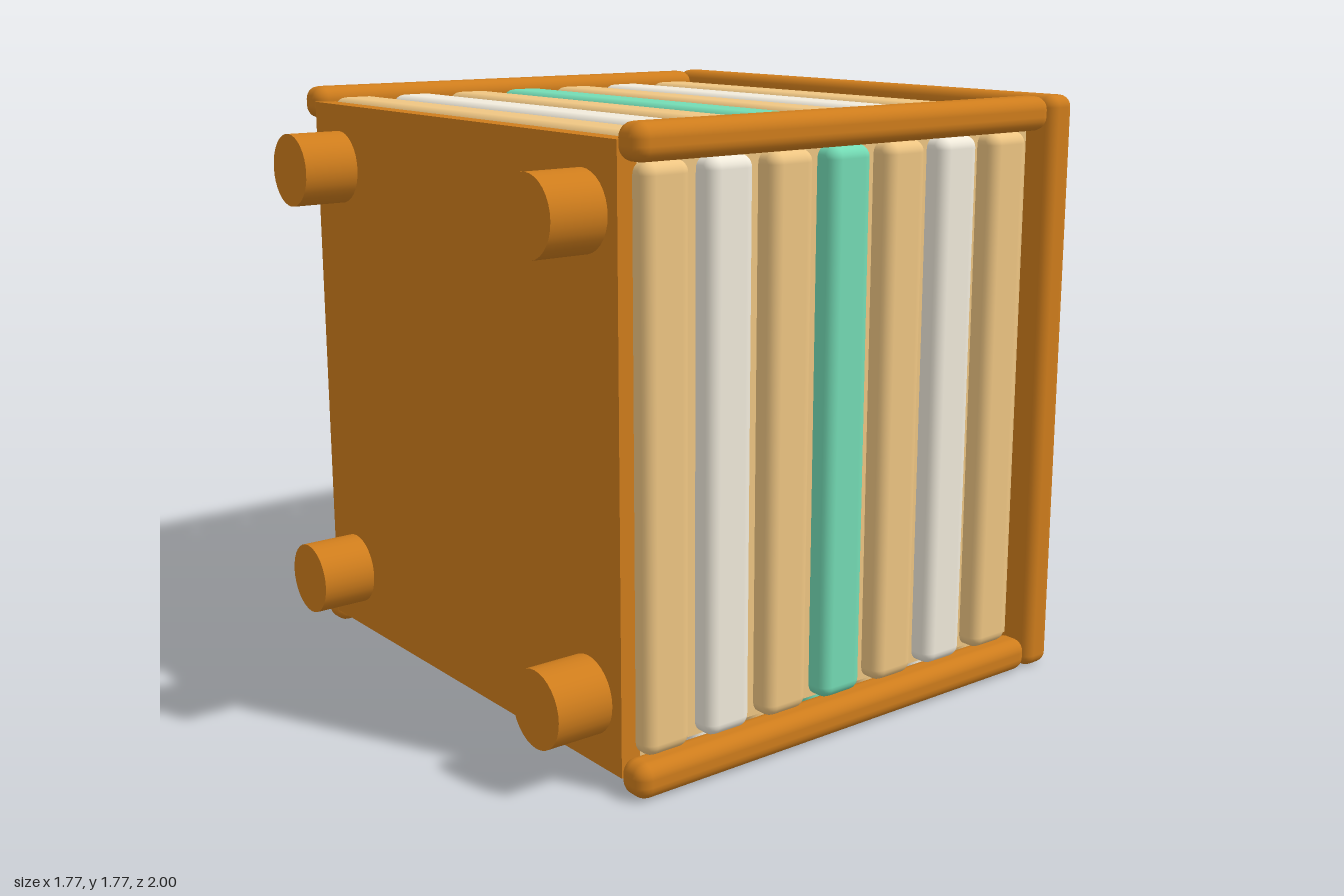
import * as THREE from 'three';
import { RoundedBoxGeometry } from 'three/addons/geometries/RoundedBoxGeometry.js';

const mat = (color) => new THREE.MeshStandardMaterial({ color });
const BROWN = mat(0xcf7d1c), WOOD = mat(0xefc683), CREAM = mat(0xf1ebdc), GREEN = mat(0x74dcb5);
const PURPLE = mat(0xb7a2ef), RED = mat(0xef6b78), SHELL = mat(0xe4dfd2);
const MID = 0.895; // height of the crate's centre

export function createModel() {
  const model = new THREE.Group();
  model.name = 'crate';

  const add = (name, geometry, material, x, y, z, parent = model) => {
    const mesh = new THREE.Mesh(geometry, material);
    mesh.name = name;
    mesh.position.set(x, y, z);
    parent.add(mesh);
    return mesh;
  };
  const box = (w, h, d, r) => r ? new RoundedBoxGeometry(w, h, d, 3, r) : new THREE.BoxGeometry(w, h, d);

  // Inner body and the plate that carries the feet
  add('core', box(1.58, 1.58, 1.46), WOOD, 0, MID, 0.06);
  add('basePlate', box(1.6, 1.68, 0.06), BROWN, 0, MID, 0.8);

  // Corner rails and feet, mirrored over both axes
  for (const sx of [-1, 1]) {
    for (const sy of [-1, 1]) {
      add('cornerRail', box(0.105, 0.1, 1.5, 0.04), BROWN, sx * 0.835, MID + sy * 0.835, 0.082);
      const foot = add('foot', new THREE.CylinderGeometry(0.11, 0.11, 0.18, 32), BROWN, sx * 0.65, MID + sy * 0.65, 0.91);
      foot.rotation.x = Math.PI / 2;
    }
  }

  // Rounded slats on all four sides
  const slatColors = [WOOD, CREAM, WOOD, GREEN, WOOD, CREAM, WOOD];
  for (let side = 0; side < 4; side++) {
    const wall = new THREE.Group();
    wall.name = 'slatWall';
    wall.position.y = MID;
    wall.rotation.z = side * Math.PI / 2;
    slatColors.forEach((material, i) =>
      add('slat', box(1.57, 0.1, 0.152, 0.035), material, 0, 0.803, -0.537 + i * 0.2075, wall));
    model.add(wall);
  }

  // Back frame and its panel
  for (const s of [-1, 1]) {
    add('frameBar', box(1.77, 0.115, 0.105, 0.035), BROWN, 0, MID + s * 0.828, -0.718);
    add('frameUpright', box(0.115, 1.77, 0.105, 0.035), BROWN, s * 0.828, MID, -0.718);
  }
  add('panel', box(1.55, 1.55, 0.12), PURPLE, 0, MID, -0.725);

  // Flattened egg with coloured spots: centre x, y, z, radii x, y, z, tilt
  const blobs = [
    ['egg', SHELL, -0.03, 0.88, -0.78, 0.67, 0.72, 0.195, 0],
    ['redSpot', RED, 0.52, 1.31, -0.82, 0.19, 0.205, 0.115, 0],
    ['purpleSpot', PURPLE, 0.075, 1.375, -0.82, 0.305, 0.265, 0.17, 0],
    ['creamSpot', CREAM, -0.48, 1.26, -0.82, 0.26, 0.24, 0.13, 0.3],
    ['greenSpot', GREEN, 0.51, 0.67, -0.83, 0.23, 0.28, 0.14, 0.2],
    ['largeRedSpot', RED, -0.39, 0.53, -0.84, 0.36, 0.29, 0.16, 0],
    ['smallGreenSpot', GREEN, -0.01, 0.33, -0.82, 0.2, 0.165, 0.12, 0],
  ];
  for (const [name, material, x, y, z, rx, ry, rz, tilt] of blobs) {
    const blob = add(name, new THREE.SphereGeometry(1, 40, 28), material, x, y, z);
    blob.scale.set(rx, ry, rz);
    blob.rotation.z = tilt;
  }

  // Latch: tab on the panel's lower edge, strap and button underneath
  add('latchTab', box(0.32, 0.12, 0.12, 0.05), RED, -0.31, 0.11, -0.81);
  add('latchStrap', box(0.24, 0.05, 0.24, 0.02), RED, -0.31, 0.04, -0.55);
  add('latchButton', new THREE.CylinderGeometry(0.11, 0.11, 0.05, 32), CREAM, -0.31, 0.04, -0.43);

  // Plaque with a paw print on the underside
  add('plaque', box(0.49, 0.03, 0.4), CREAM, 0.315, 0.037, 0.05);
  const pawParts = [[0, 0.05, 0.085, 0.065], [-0.11, -0.01, 0.035, 0.045], [-0.04, -0.07, 0.035, 0.045],
    [0.04, -0.07, 0.035, 0.045], [0.11, -0.01, 0.035, 0.045]];
  for (const [x, z, rx, rz] of pawParts) {
    const pad = add('pawPad', new THREE.CylinderGeometry(1, 1, 0.02, 24), BROWN, 0.315 + x, 0.02, 0.05 + z);
    pad.scale.set(rx, 1, rz);
  }
  return model;
}
